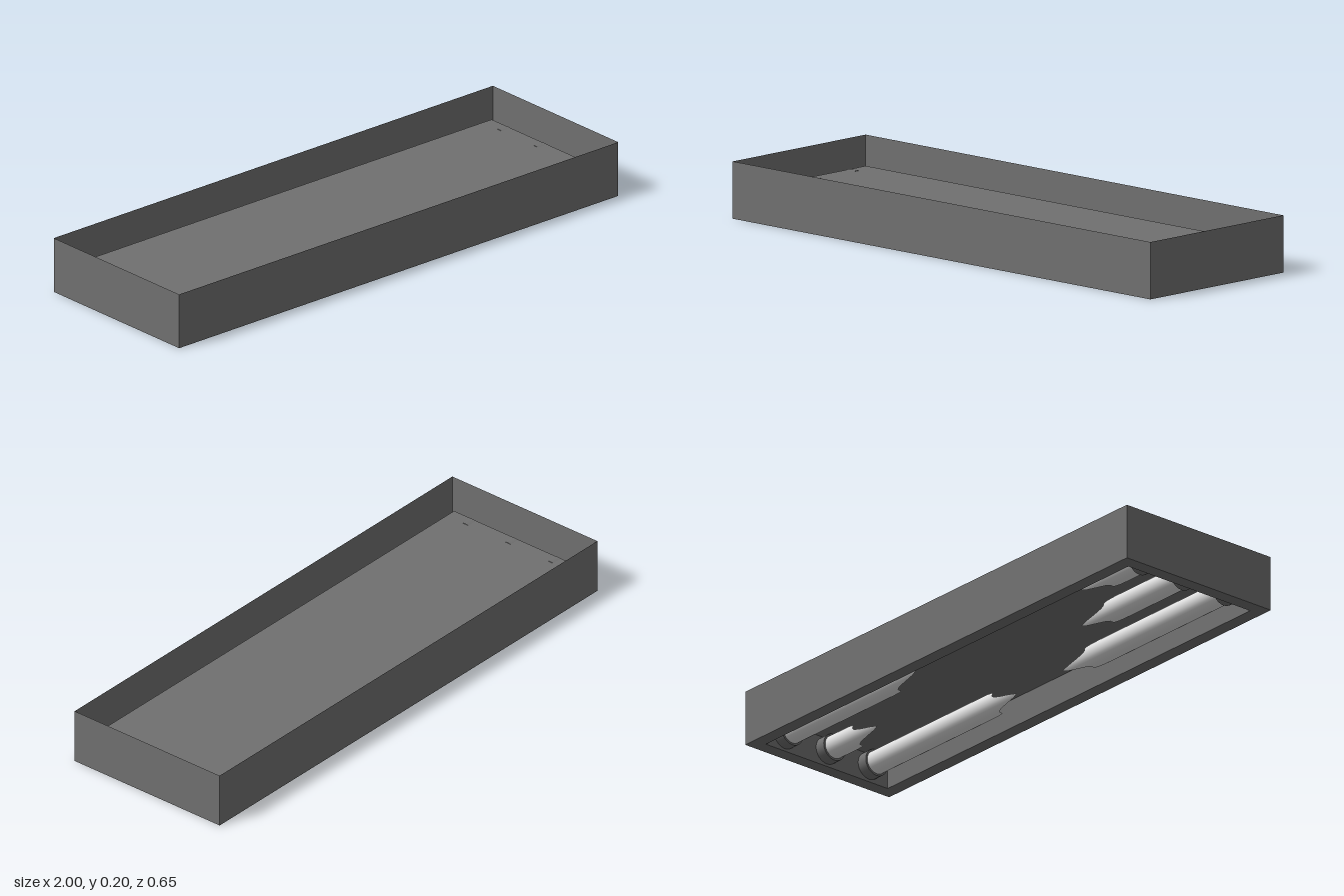
import * as THREE from 'three';

const metal = new THREE.MeshStandardMaterial({ color: 0x707070, side: THREE.DoubleSide });
metal.name = 'grey metal';
const glass = new THREE.MeshStandardMaterial({ color: 0xe2e2e2, side: THREE.DoubleSide });
glass.name = 'white glass';

// Joins rectangular sections [halfX, halfZ, y] into a flat-sided sheet
function rectLoft(sections) {
  const corners = [[1, 1], [1, -1], [-1, -1], [-1, 1]];
  const pos = [];
  const at = (s, i) => [corners[i % 4][0] * s[0], s[2], corners[i % 4][1] * s[1]];
  for (let k = 0; k < sections.length - 1; k++) {
    const [a, b] = [sections[k], sections[k + 1]];
    for (let i = 0; i < 4; i++) {
      pos.push(...at(a, i), ...at(b, i), ...at(b, i + 1));
      if (b[0] > 0) pos.push(...at(a, i), ...at(b, i + 1), ...at(a, i + 1));
      else pos.push(...at(a, i), ...at(b, i), ...at(a, i + 1));
    }
  }
  const g = new THREE.BufferGeometry();
  g.setAttribute('position', new THREE.Float32BufferAttribute(pos, 3));
  g.computeVertexNormals();
  return g;
}

// Hollow tube along +x from the origin whose free end is snapped off at a jagged slant
function brokenTube(length, side) {
  const g = new THREE.CylinderGeometry(0.042, 0.042, 1, 32, 1, true);
  g.translate(0, 0.5, 0);
  const p = g.attributes.position;
  for (let i = 0; i < p.count; i++) {
    if (p.getY(i) < 0.5) continue;
    let a = Math.atan2(p.getZ(i) * side, p.getX(i)) + 0.95;
    if (a > Math.PI) a -= 2 * Math.PI;
    const cut = 0.34 * Math.abs(a) / Math.PI + 0.025 * (1 - Math.cos(a * 5));
    p.setY(i, Math.max(0.06, length - cut));
  }
  g.rotateZ(-Math.PI / 2);
  return g;
}

export function createModel() {
  const model = new THREE.Group();
  model.name = 'ceilingLight';

  // Sheet housing: outer walls, lower rim, recess walls and recess ceiling; open on top
  const housing = new THREE.Mesh(rectLoft([
    [1, 0.325, 0.2], [1, 0.325, 0], [0.95, 0.275, 0], [0.95, 0.275, 0.105], [0, 0, 0.105],
  ]), metal);
  housing.name = 'housing';
  model.add(housing);

  // Three rows of broken tubes: z, length left at the +x end, length left at the -x end
  const rows = [[0.19, 0.82, 0.85], [0, 0.31, 0.53], [-0.19, 0.73, 0.31]];
  for (const [z, plus, minus] of rows) {
    for (const [end, length] of [[1, plus], [-1, minus]]) {
      const lamp = new THREE.Group();
      lamp.name = 'lampEnd';
      lamp.position.set(end * 0.95, 0.058, z);
      if (end > 0) lamp.rotation.y = Math.PI;

      const tube = new THREE.Mesh(brokenTube(length, -end), glass);
      tube.name = 'brokenTube';

      const socket = new THREE.Mesh(
        new THREE.CylinderGeometry(0.049, 0.049, 0.04, 32).rotateZ(Math.PI / 2), metal);
      socket.name = 'socket';
      socket.position.x = 0.021;
      lamp.add(tube, socket);
      model.add(lamp);
    }
  }
  return model;
}
